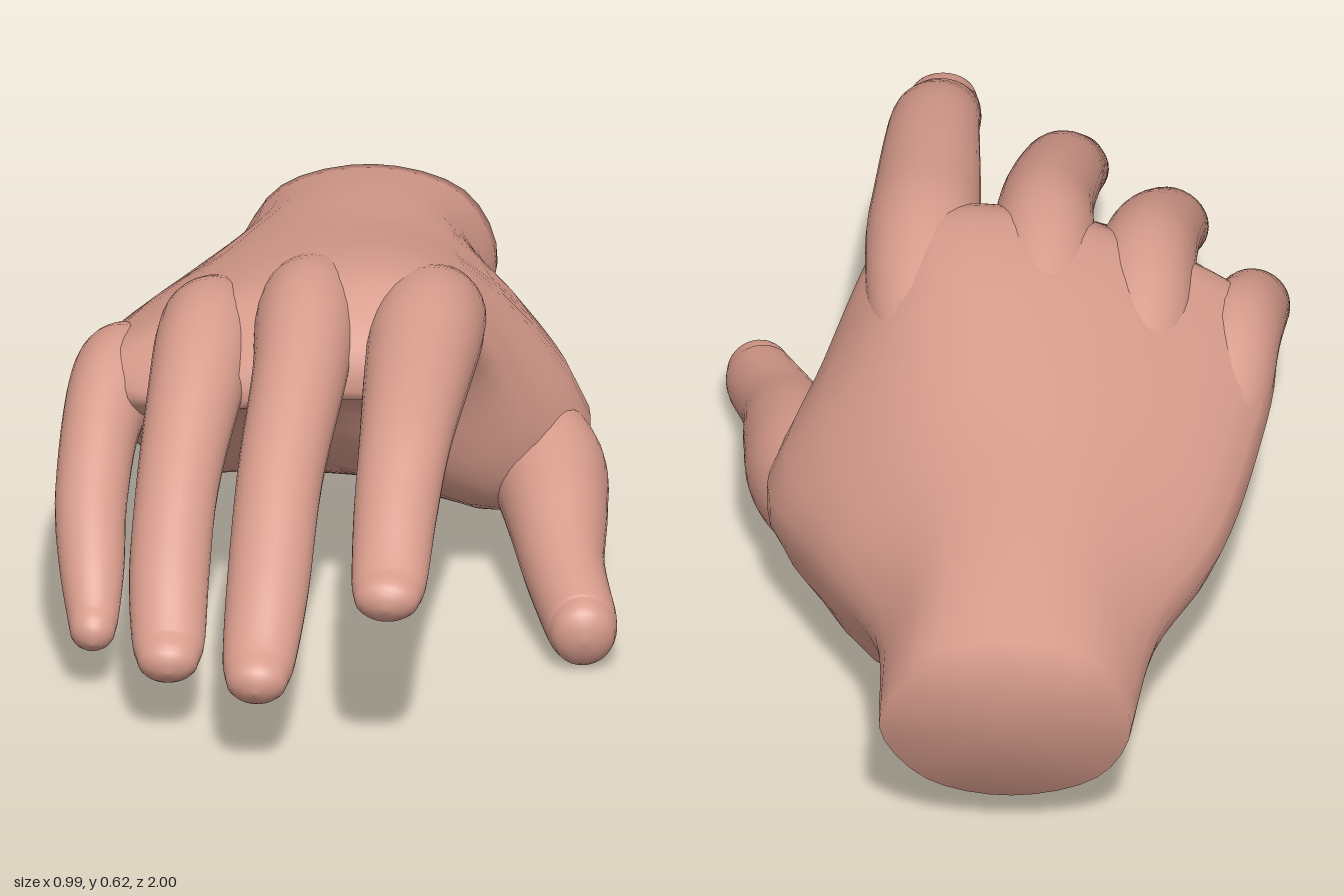
import * as THREE from 'three';

const SEG = 32;
const V = (x, y, z) => new THREE.Vector3(x, y, z);

// Closed smooth skin over rings that run counter-clockwise along the part
function loft(rings) {
  const n = rings[0].length, pos = [], idx = [];
  const middle = (r) => r.reduce((s, p) => s.add(p), V(0, 0, 0)).divideScalar(n);
  for (const r of rings) for (const p of r) pos.push(p.x, p.y, p.z);
  const last = rings.length - 1, start = rings.length * n, end = start + 1;
  for (const r of [rings[0], rings[last]]) pos.push(...middle(r).toArray());
  for (let j = 0; j < n; j++) {
    const k = (j + 1) % n;
    for (let i = 0; i < last; i++) {
      const a = i * n + j, b = i * n + k;
      idx.push(a, b, a + n, b, b + n, a + n);
    }
    idx.push(start, k, j, end, last * n + j, last * n + k);
  }
  const g = new THREE.BufferGeometry();
  g.setAttribute('position', new THREE.Float32BufferAttribute(pos, 3));
  g.setIndex(idx);
  g.computeVertexNormals();
  return g;
}

// Palm and wrist sections: z, slant, then x,y pairs from the thumb side over the back and under
const palmSections = [
  [-0.955, 0.27, 0.18, 0.24, 0.12, 0.36, -0.04, 0.4, -0.2, 0.36, -0.26, 0.25, -0.2, 0.12, -0.05, 0.07, 0.1, 0.11],
  [-0.7, 0.15, 0.195, 0.26, 0.1, 0.42, -0.05, 0.46, -0.2, 0.41, -0.3, 0.27, -0.2, 0.14, -0.04, 0.105, 0.12, 0.14],
  [-0.45, 0, 0.31, 0.27, 0.14, 0.46, -0.08, 0.51, -0.27, 0.43, -0.4, 0.28, -0.22, 0.09, 0.05, 0.045, 0.22, 0.06],
  [-0.2, 0, 0.4, 0.24, 0.17, 0.52, -0.08, 0.56, -0.32, 0.465, -0.455, 0.32, -0.3, 0.14, -0.02, 0.12, 0.28, 0.07],
  [0, 0, 0.33, 0.3, 0.17, 0.57, -0.08, 0.592, -0.34, 0.49, -0.48, 0.36, -0.3, 0.2, -0.05, 0.23, 0.25, 0.15],
  [0.12, 0, 0.24, 0.47, 0.15, 0.59, -0.08, 0.59, -0.33, 0.5, -0.465, 0.39, -0.3, 0.32, -0.08, 0.35, 0.13, 0.38],
  [0.2, 0, 0.21, 0.48, 0.14, 0.56, -0.08, 0.555, -0.29, 0.475, -0.39, 0.4, -0.29, 0.36, -0.08, 0.4, 0.12, 0.42],
  [0.28, 0, 0.18, 0.47, 0.13, 0.51, -0.08, 0.5, -0.25, 0.45, -0.3, 0.42, -0.25, 0.4, -0.08, 0.43, 0.12, 0.44],
];

function palmGeometry() {
  const outlines = palmSections.map(([z, slant, ...xy]) => {
    const pts = [];
    for (let i = 0; i < xy.length; i += 2) pts.push(V(xy[i], xy[i + 1], z - slant * (xy[i + 1] - 0.235)));
    const c = new THREE.CatmullRomCurve3(pts, true, 'catmullrom', 0.5);
    return Array.from({ length: SEG }, (_, j) => c.getPoint(j / SEG));
  });
  const columns = outlines[0].map((_, j) =>
    new THREE.CatmullRomCurve3(outlines.map((o) => o[j]), false, 'centripetal').getPoints(35));
  return loft(columns[0].map((_, i) => columns.map((c) => c[i])));
}

// Finger from keys of x, y, z, half width, half height, ending in a rounded tip
function fingerGeometry(keys) {
  const path = new THREE.CatmullRomCurve3(keys.map((k) => V(k[0], k[1], k[2])), false, 'catmullrom');
  const size = new THREE.CatmullRomCurve3(keys.map((k) => V(k[3], k[4], 0)), false, 'catmullrom');
  const ring = (t, push, scale) => {
    const dir = path.getTangent(t), r = size.getPoint(t);
    const side = V(0, 1, 0).cross(dir).normalize(), up = dir.clone().cross(side);
    const centre = path.getPoint(t).addScaledVector(dir, push);
    return Array.from({ length: SEG }, (_, j) => {
      const a = (j / SEG) * Math.PI * 2;
      return centre.clone()
        .addScaledVector(side, Math.cos(a) * r.x * scale)
        .addScaledVector(up, Math.sin(a) * r.y * scale);
    });
  };
  const rings = [];
  for (let i = 0; i <= 35; i++) rings.push(ring(i / 35, 0, 1));
  for (let i = 1; i <= 5; i++) {
    const a = (i / 5.3) * Math.PI / 2;
    rings.push(ring(1, Math.sin(a) * 0.038, Math.cos(a)));
  }
  return loft(rings);
}

// Each finger starts deep inside the palm and surfaces gradually at the knuckle
const fingers = {
  indexFinger: [
    [0.11, 0.42, -0.3, 0.05, 0.05], [0.135, 0.482, -0.05, 0.09, 0.085], [0.14, 0.515, 0.14, 0.1, 0.1],
    [0.138, 0.503, 0.32, 0.094, 0.092], [0.135, 0.468, 0.58, 0.08, 0.072], [0.13, 0.395, 0.73, 0.073, 0.067],
    [0.13, 0.322, 0.87, 0.066, 0.05], [0.13, 0.308, 0.925, 0.058, 0.042],
  ],
  middleFinger: [
    [-0.07, 0.45, -0.3, 0.05, 0.05], [-0.07, 0.498, -0.05, 0.085, 0.085], [-0.07, 0.525, 0.14, 0.09, 0.097],
    [-0.07, 0.487, 0.32, 0.082, 0.09], [-0.085, 0.39, 0.56, 0.075, 0.075], [-0.09, 0.265, 0.77, 0.072, 0.065],
    [-0.095, 0.182, 0.9, 0.064, 0.053], [-0.095, 0.162, 0.96, 0.054, 0.043],
  ],
  ringFinger: [
    [-0.21, 0.38, -0.3, 0.05, 0.05], [-0.24, 0.45, -0.05, 0.085, 0.085], [-0.245, 0.475, 0.12, 0.09, 0.097],
    [-0.255, 0.44, 0.28, 0.082, 0.085], [-0.27, 0.34, 0.48, 0.072, 0.07], [-0.272, 0.235, 0.64, 0.07, 0.062],
    [-0.265, 0.157, 0.75, 0.064, 0.052], [-0.262, 0.137, 0.8, 0.054, 0.042],
  ],
  littleFinger: [
    [-0.34, 0.31, -0.3, 0.05, 0.05], [-0.39, 0.345, -0.1, 0.075, 0.08], [-0.405, 0.383, 0.06, 0.08, 0.088],
    [-0.425, 0.345, 0.2, 0.068, 0.078], [-0.43, 0.26, 0.36, 0.063, 0.062], [-0.42, 0.185, 0.47, 0.057, 0.055],
    [-0.412, 0.128, 0.55, 0.046, 0.044], [-0.41, 0.11, 0.585, 0.04, 0.038],
  ],
  thumb: [
    [0.15, 0.24, -0.5, 0.05, 0.06], [0.255, 0.205, -0.3, 0.075, 0.09], [0.33, 0.18, -0.1, 0.1, 0.112],
    [0.36, 0.155, 0.06, 0.09, 0.098], [0.385, 0.112, 0.22, 0.072, 0.077], [0.425, 0.07, 0.37, 0.064, 0.068],
    [0.434, 0.064, 0.415, 0.057, 0.06],
  ],
};

export function createModel() {
  const hand = new THREE.Group();
  hand.name = 'hand';
  const skin = new THREE.MeshStandardMaterial({ color: 0xd89c8c });
  skin.name = 'skin';
  const add = (name, geometry) => {
    const mesh = new THREE.Mesh(geometry, skin);
    mesh.name = name;
    hand.add(mesh);
  };
  add('palmAndWrist', palmGeometry());
  for (const [name, keys] of Object.entries(fingers)) add(name, fingerGeometry(keys));
  return hand;
}
